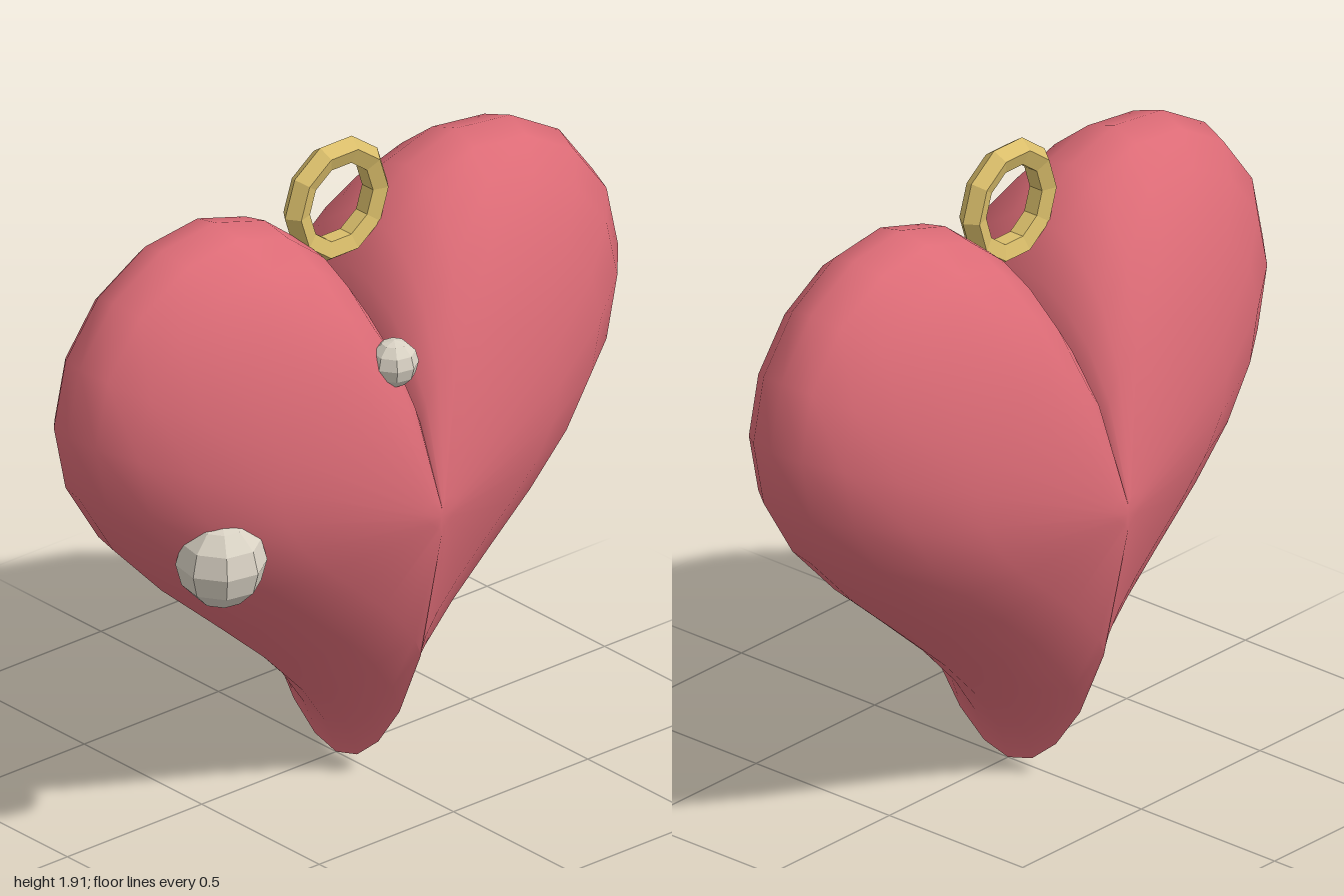
import * as THREE from 'three';
import { toCreasedNormals } from 'three/addons/utils/BufferGeometryUtils.js';

const SEGMENTS = 36;
const CENTRE_Y = 0.905;
const HALF_DEPTH = 0.45;
// outline scale at equal depth steps, from the middle to the face
const SCALES = [1, 0.972, 0.89, 0.75, 0.52, 0.06];

// heart curve, 2 wide, tip at y = 0
function heartPoint(t) {
  const x = Math.sin(t) ** 3;
  const y = (13 * Math.cos(t) - 5 * Math.cos(2 * t) - 2 * Math.cos(3 * t) - Math.cos(4 * t) + 17) / 16;
  return [x, y];
}

// puffed heart: scaled outlines stacked along z and capped at both ends
function heartGeometry() {
  const positions = [];
  const index = [];
  const last = SCALES.length - 1;
  for (let k = -last; k <= last; k++) {
    const s = SCALES[Math.abs(k)];
    for (let i = 0; i < SEGMENTS; i++) {
      const [x, y] = heartPoint((i / SEGMENTS) * Math.PI * 2);
      positions.push(x * s, CENTRE_Y + (y - CENTRE_Y) * s, (k / last) * HALF_DEPTH);
    }
  }
  const rings = 2 * last + 1;
  const back = rings * SEGMENTS;
  const front = back + 1;
  positions.push(0, CENTRE_Y, -HALF_DEPTH, 0, CENTRE_Y, HALF_DEPTH);

  for (let i = 0; i < SEGMENTS; i++) {
    const j = (i + 1) % SEGMENTS;
    for (let k = 0; k < rings - 1; k++) {
      const lo = k * SEGMENTS;
      const hi = lo + SEGMENTS;
      index.push(lo + i, hi + i, lo + j, hi + i, hi + j, lo + j);
    }
    const top = (rings - 1) * SEGMENTS;
    index.push(back, i, j, front, top + j, top + i);
  }
  const geometry = new THREE.BufferGeometry();
  geometry.setAttribute('position', new THREE.Float32BufferAttribute(positions, 3));
  geometry.setIndex(index);
  return toCreasedNormals(geometry, Math.PI / 3);
}

function material(name, color, flatShading = false) {
  const m = new THREE.MeshStandardMaterial({ color, flatShading });
  m.name = name;
  return m;
}

export function createModel() {
  const rose = material('rose', 0xdc6b76);
  const gold = material('gold', 0xd9bd6a, true);
  const pearl = material('pearl', 0xd9d2c4, true);

  const model = new THREE.Group();
  model.name = 'heartPendant';
  const add = (name, geometry, mat, x = 0, y = 0, z = 0) => {
    const mesh = new THREE.Mesh(geometry, mat);
    mesh.name = name;
    mesh.position.set(x, y, z);
    model.add(mesh);
    return mesh;
  };

  add('heartBody', heartGeometry(), rose);

  // hanging ring
  add('hangingRing', new THREE.TorusGeometry(0.15, 0.04, 5, 10), gold, 0, 1.73, 0);

  // beads set into the front
  add('largeBead', new THREE.SphereGeometry(0.13, 8, 6), pearl, -0.65, 0.905, 0.255).rotation.y = 0.2;
  add('smallBead', new THREE.SphereGeometry(0.07, 8, 6), pearl, -0.075, 1.37, 0.333).rotation.y = 0.2;

  return model;
}
